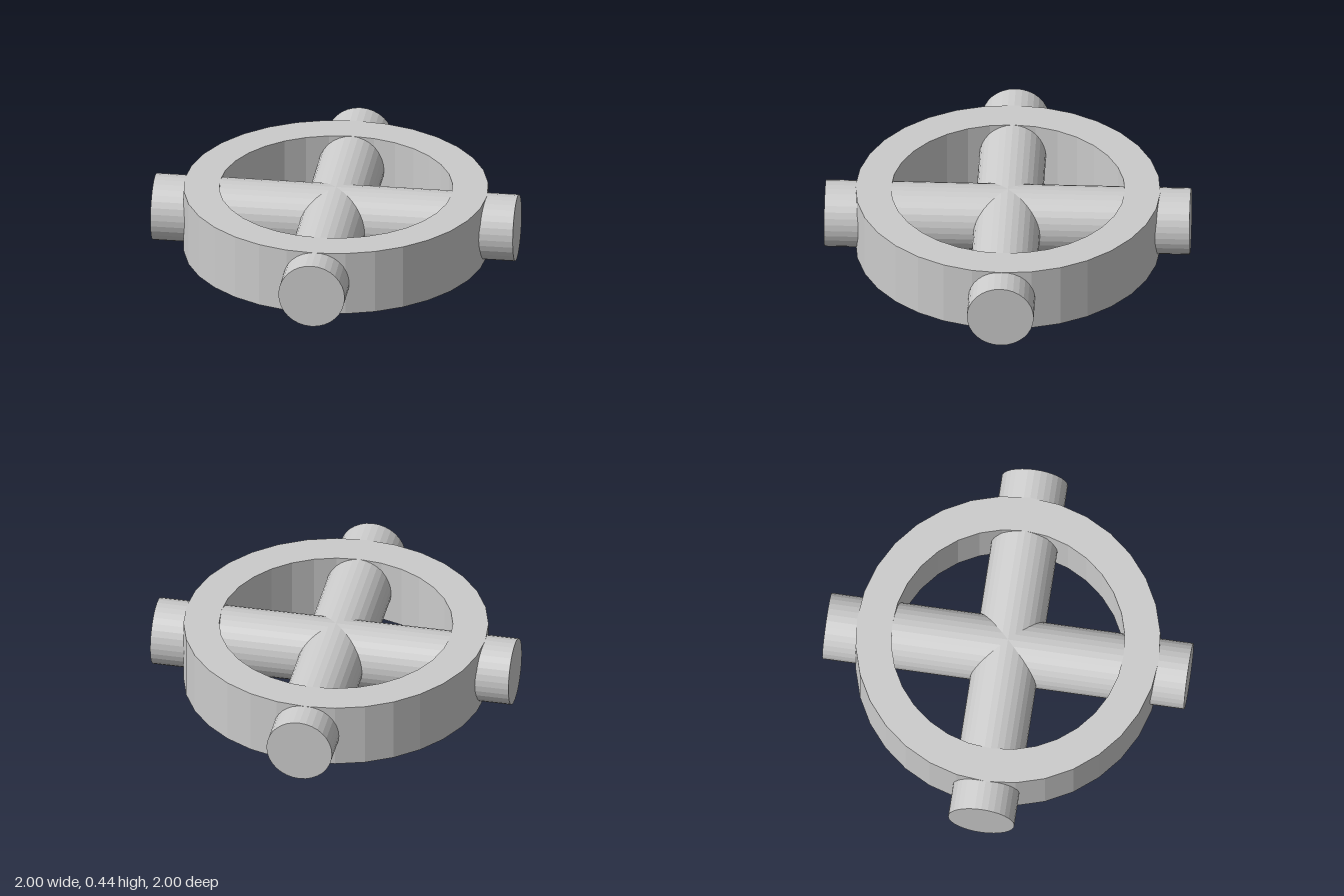
import * as THREE from 'three';

export function createModel() {
  const group = new THREE.Group();
  const material = new THREE.MeshStandardMaterial({ color: 0xcccccc, flatShading: true });
  const height = 0.437, outer = 0.997, inner = 0.764, barLength = 2.39, sides = 32;

  // Flat ring with a rectangular cross-section
  const profile = [[inner, 0], [outer, 0], [outer, height], [inner, height], [inner, 0]]
    .map(([r, y]) => new THREE.Vector2(r, y));
  const ring = new THREE.Mesh(new THREE.LatheGeometry(profile, sides), material);
  ring.name = 'ring';
  group.add(ring);

  // Two round bars crossing on the diagonals and passing through the ring
  const barGeometry = new THREE.CylinderGeometry(height / 2, height / 2, barLength, sides);
  barGeometry.rotateZ(Math.PI / 2);
  for (const side of [1, -1]) {
    const bar = new THREE.Mesh(barGeometry, material);
    bar.name = side > 0 ? 'crossBarA' : 'crossBarB';
    bar.position.y = height / 2;
    bar.rotation.y = side * Math.PI / 4;
    group.add(bar);
  }
  return group;
}
